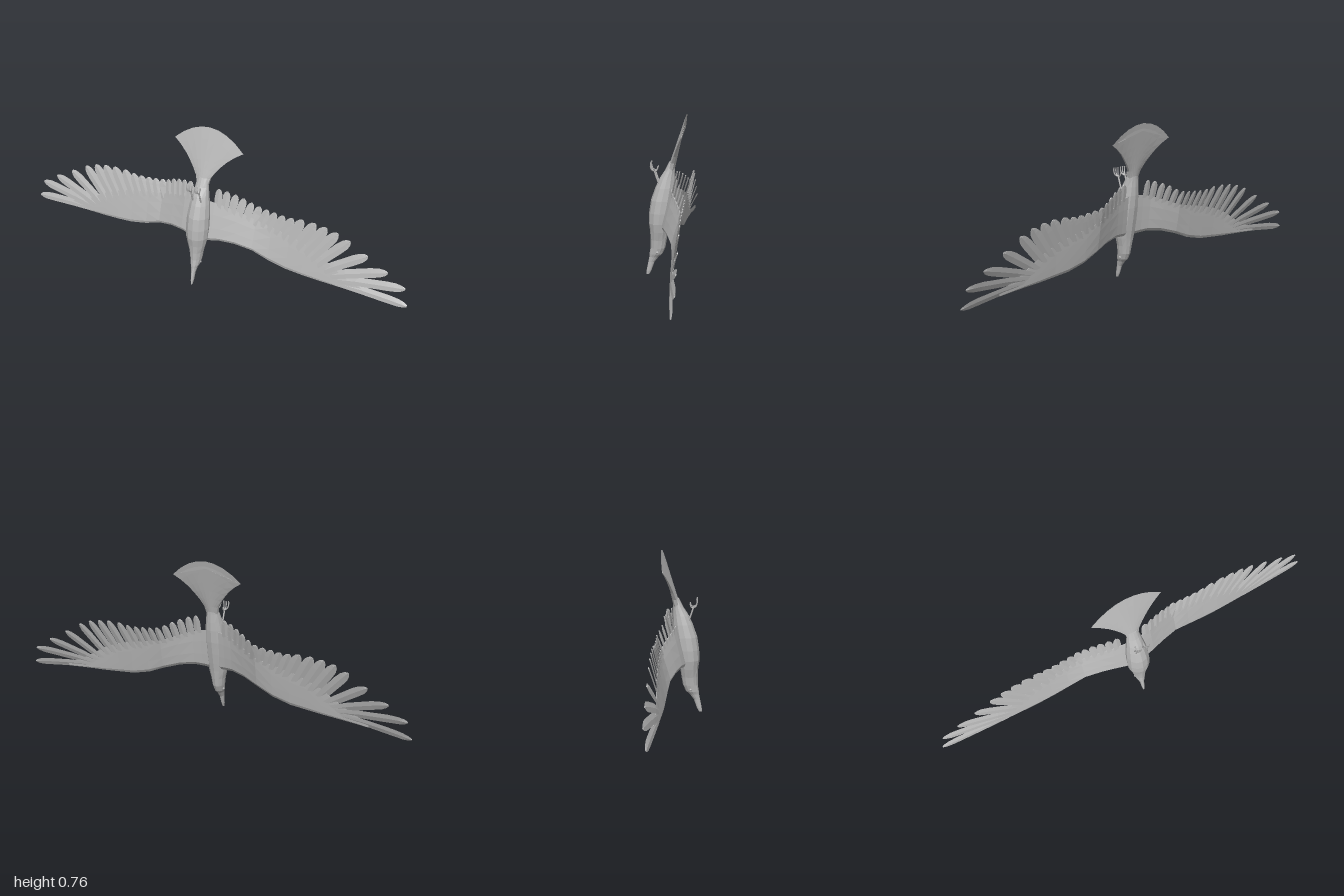
import * as THREE from 'three';

const V = (x, y, z) => new THREE.Vector3(x, y, z);

// Piecewise linear lookup in a list of [position, value] pairs
function lookup(table, x) {
  if (x <= table[0][0]) return table[0][1];
  for (let i = 1; i < table.length; i++) {
    const [x0, v0] = table[i - 1], [x1, v1] = table[i];
    if (x <= x1) return v0 + (v1 - v0) * (x - x0) / (x1 - x0);
  }
  return table[table.length - 1][1];
}

// Closed, faceted skin over a row of rings, always facing outward
function loft(rings) {
  const n = rings[0].length, tris = [];
  for (let i = 0; i < rings.length - 1; i++) {
    for (let j = 0; j < n; j++) {
      const k = (j + 1) % n;
      const a = rings[i][j], b = rings[i][k], c = rings[i + 1][k], d = rings[i + 1][j];
      tris.push([a, b, c], [a, c, d]);
    }
  }
  [rings[0], rings[rings.length - 1]].forEach((ring, end) => {
    const mid = ring.reduce((s, p) => s.add(p), V(0, 0, 0)).divideScalar(n);
    ring.forEach((p, j) => {
      const q = ring[(j + 1) % n];
      tris.push(end ? [mid, p, q] : [mid, q, p]);
    });
  });
  const origin = rings[0][0];
  let volume = 0;
  for (const [a, b, c] of tris) {
    volume += a.clone().sub(origin).dot(b.clone().sub(origin).cross(c.clone().sub(origin)));
  }
  const points = tris.flatMap(([a, b, c]) => (volume < 0 ? [a, c, b] : [a, b, c]));
  const geometry = new THREE.BufferGeometry().setFromPoints(points);
  geometry.computeVertexNormals();
  return geometry;
}

// Wing plan: leading edge, end of the solid arm, feather tip line, and their depths
const leadY = [[0, 0.22], [0.1, 0.23], [0.17, 0.222], [0.25, 0.198], [0.33, 0.165],
  [0.42, 0.143], [0.55, 0.131], [0.7, 0.124], [0.85, 0.115], [1, 0.106]];
const armY = [[0, 0.42], [0.08, 0.41], [0.15, 0.385], [0.25, 0.345], [0.35, 0.325],
  [0.45, 0.305], [0.55, 0.27], [0.62, 0.23], [0.7, 0.175], [0.8, 0.14]];
const tipY = [[0, 0.49], [0.1, 0.475], [0.25, 0.41], [0.5, 0.405], [0.62, 0.395],
  [0.7, 0.365], [0.79, 0.31], [0.89, 0.25], [1, 0.17]];
const leadZ = [[0, 0.02], [0.05, 0.013], [0.1, 0], [0.17, -0.02], [0.25, -0.042],
  [0.35, -0.05], [0.5, -0.052], [0.7, -0.061], [0.85, -0.072], [1, -0.084]];
const trailZ = [[0, -0.03], [0.05, -0.036], [0.1, -0.046], [0.17, -0.07], [0.25, -0.094], [1, -0.097]];

function wingZ(x, y) {
  const y0 = lookup(leadY, x);
  const t = THREE.MathUtils.clamp((y - y0) / (lookup(tipY, x) - y0), 0, 1);
  return THREE.MathUtils.lerp(lookup(leadZ, x), lookup(trailZ, x), t);
}

// Solid wing arm: aerofoil sections from shoulder to wrist
function armGeometry(side) {
  const foil = [[0, 0.005], [0.08, 0.013], [0.35, 0.011], [0.7, 0.007], [1, 0.002]];
  const xs = [0.02, 0.06, 0.1, 0.17, 0.25, 0.33, 0.42, 0.5, 0.58, 0.66, 0.73, 0.8];
  return loft(xs.map((x) => {
    const y0 = lookup(leadY, x), y1 = lookup(armY, x), thick = 1.15 - x * 1.3;
    const point = ([t, h], face) => {
      const y = y0 + (y1 - y0) * t;
      return V(side * x, y, wingZ(x, y) + face * h * thick);
    };
    return [...foil.map((f) => point(f, 1)), ...foil.slice().reverse().map((f) => point(f, -1))];
  }));
}

// Flight feathers: base x, base y, tip x, tip y, half width
const feathers = [
  [0.072, 0.3, 0.075, 0.484, 0.019], [0.1, 0.3, 0.112, 0.476, 0.019],
  [0.13, 0.3, 0.15, 0.462, 0.019], [0.16, 0.29, 0.186, 0.446, 0.019],
  [0.19, 0.27, 0.222, 0.427, 0.019], [0.22, 0.26, 0.26, 0.413, 0.02],
  [0.25, 0.25, 0.3, 0.406, 0.021], [0.28, 0.24, 0.34, 0.402, 0.021],
  [0.31, 0.23, 0.382, 0.398, 0.022], [0.345, 0.22, 0.426, 0.398, 0.023],
  [0.38, 0.215, 0.475, 0.404, 0.025], [0.42, 0.2, 0.535, 0.404, 0.026],
  [0.46, 0.19, 0.59, 0.398, 0.026], [0.495, 0.18, 0.645, 0.386, 0.025],
  [0.53, 0.17, 0.705, 0.362, 0.024], [0.57, 0.165, 0.793, 0.31, 0.023],
  [0.6, 0.16, 0.892, 0.252, 0.022], [0.64, 0.155, 0.98, 0.192, 0.021],
  [0.66, 0.143, 1, 0.112, 0.019],
];

function featherGeometry([bx, by, tx, ty, w], side) {
  const along = new THREE.Vector2(tx - bx, ty - by).normalize();
  const outline = [[0, 0.8], [0.35, 0.95], [0.75, 1], [0.88, 0.9], [0.96, 0.6], [1, 0.22]];
  return loft(outline.map(([u, f]) => {
    const x = bx + (tx - bx) * u;
    const y = by + (ty - by) * u + 0.006 * Math.sin(Math.PI * u) * along.x;
    // vanes follow the wing surface, tilted a little to overlap like shingles
    const edge = (s) => {
      const ex = x + s * along.y * w * f, ey = y - s * along.x * w * f;
      return V(side * ex, ey, wingZ(ex, ey) + s * 0.004 * f);
    };
    const z = wingZ(x, y);
    return [edge(-1), V(side * x, y, z + 0.003), edge(1), V(side * x, y, z - 0.003)];
  }));
}

// Body: y, front z, back z, half width, from bill tip to rump
function bodyGeometry() {
  const sections = [
    [0, 0.1, 0.086, 0.004], [0.018, 0.099, 0.076, 0.007], [0.06, 0.091, 0.061, 0.01],
    [0.085, 0.086, 0.042, 0.015], [0.1, 0.085, 0.024, 0.022], [0.13, 0.08, 0.01, 0.028],
    [0.17, 0.08, 0.003, 0.034], [0.21, 0.082, -0.003, 0.045], [0.25, 0.088, -0.011, 0.053],
    [0.3, 0.086, -0.02, 0.056], [0.36, 0.077, -0.03, 0.054], [0.42, 0.056, -0.036, 0.047],
    [0.46, 0.038, -0.037, 0.04], [0.5, 0.012, -0.036, 0.033], [0.54, -0.008, -0.036, 0.026],
  ];
  return loft(sections.map(([y, front, back, w]) => Array.from({ length: 12 }, (_, i) => {
    const a = i / 12 * Math.PI * 2;
    return V(Math.sin(a) * w, y, (front + back) / 2 + Math.cos(a) * (front - back) / 2);
  })));
}

// Tail: a fan that flattens to a thin curved edge
function tailGeometry() {
  const columns = [-1, -0.75, -0.5, -0.25, 0, 0.25, 0.5, 0.75, 1];
  const halfWidth = [[0, 0.028], [0.15, 0.036], [0.3, 0.057], [0.6, 0.105], [1, 0.175]];
  return loft([0, 0.15, 0.3, 0.45, 0.6, 0.8, 1].map((v) => {
    const point = (c, face) => V(
      c * lookup(halfWidth, v),
      0.5 + 0.264 * v - 0.085 * v * v * c * c,
      -0.016 - 0.073 * v + 0.014 * v * v * c * c
        + face * (0.001 + 0.016 * (1 - v) * (1 - 0.6 * c * c)));
    return [...columns.map((c) => point(c, 1)), ...columns.slice().reverse().map((c) => point(c, -1))];
  }));
}

export function createModel() {
  const bird = new THREE.Group();
  bird.name = 'divingBird';
  const grey = new THREE.MeshStandardMaterial({ color: 0xb8b8b8 });
  grey.name = 'plumageGrey';

  const add = (parent, name, geometry) => {
    const mesh = new THREE.Mesh(geometry, grey);
    mesh.name = name;
    parent.add(mesh);
    return mesh;
  };

  add(bird, 'body', bodyGeometry());
  add(bird, 'tail', tailGeometry());

  for (const side of [1, -1]) {
    const label = side > 0 ? 'left' : 'right';
    const wing = new THREE.Group();
    wing.name = label + 'Wing';
    bird.add(wing);
    add(wing, 'wingArm', armGeometry(side));
    feathers.forEach((f, i) => add(wing, 'feather' + (i + 1), featherGeometry(f, side)));

    add(bird, label + 'Eye', new THREE.SphereGeometry(0.007, 10, 8))
      .position.set(side * 0.021, 0.11, 0.047);

    // Leg with three curled front toes and one back toe
    const leg = new THREE.Group();
    leg.name = label + 'Leg';
    bird.add(leg);
    const limb = (name, points, radius) => add(leg, name, new THREE.TubeGeometry(
      new THREE.CatmullRomCurve3(points.map(([x, y, z]) => V(side * x, y, z))), 6, radius, 6));
    limb('shank', [[0.02, 0.43, 0.035], [0.021, 0.465, 0.048], [0.021, 0.502, 0.06]], 0.004);
    for (const spread of [-0.013, 0, 0.013]) {
      limb('frontToe', [[0.021, 0.499, 0.059], [0.021 + spread * 0.7, 0.506, 0.071],
        [0.021 + spread, 0.525, 0.077], [0.021 + spread, 0.541, 0.075]], 0.003);
    }
    limb('backToe', [[0.021, 0.499, 0.059], [0.021, 0.502, 0.049], [0.021, 0.52, 0.043]], 0.003);
  }
  return bird;
}
